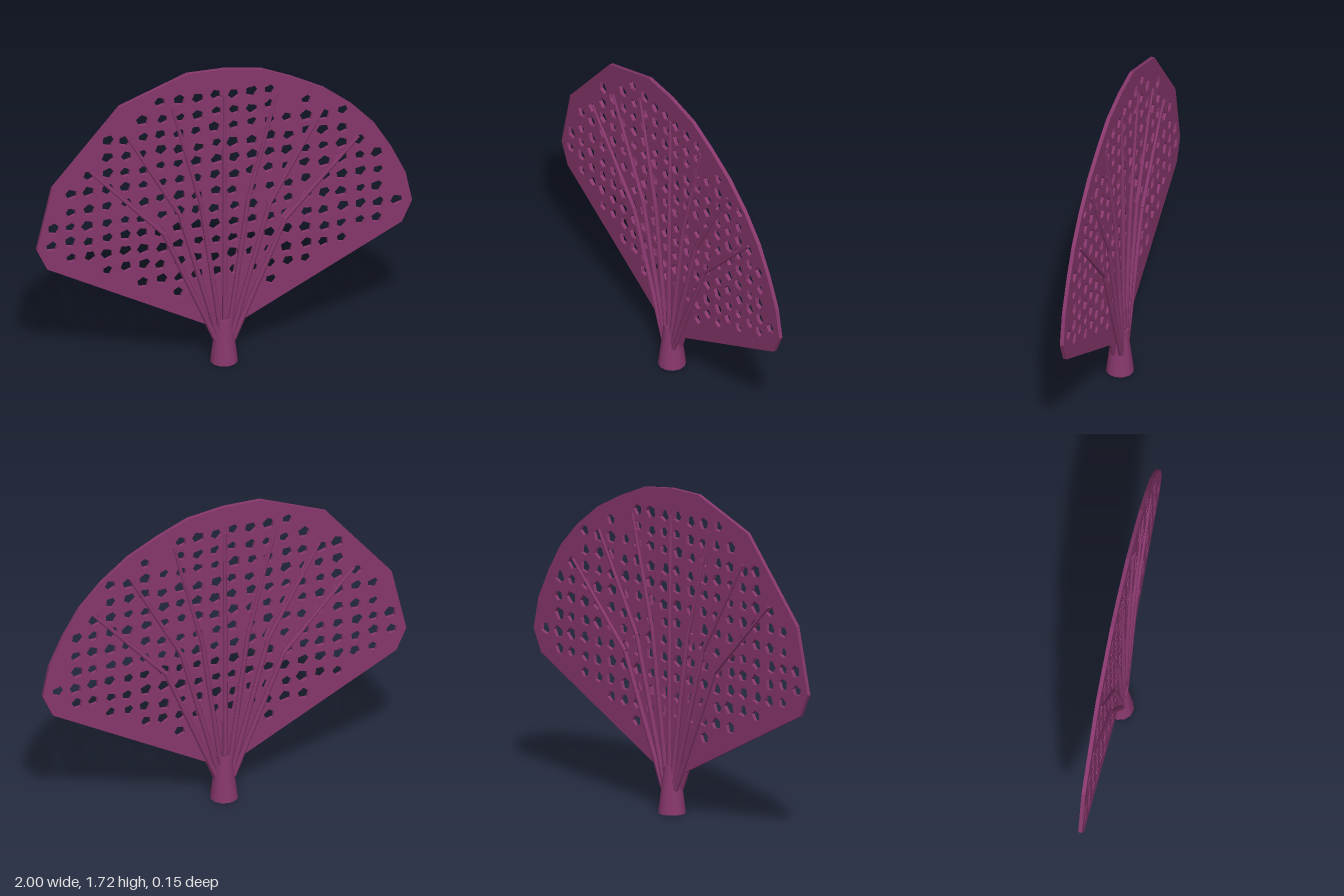
import * as THREE from 'three';

const coral = new THREE.MeshStandardMaterial({ color: 0x87376c });
coral.name = 'plum coral';

// Small seeded generator for the irregular pores
let seed = 7;
const rand = () => (seed = (seed * 16807) % 2147483647) / 2147483647;
const jitter = (a) => (rand() * 2 - 1) * a;

// Fan outline, clockwise from the top left
const OUTLINE = [
  [-0.2, 1.72], [0, 1.72], [0.2, 1.69], [0.36, 1.62], [0.53, 1.53], [0.68, 1.41],
  [0.8, 1.28], [0.89, 1.13], [0.965, 0.97], [1, 0.8], [0.945, 0.68], [0.1, 0.23],
  [-0.1, 0.23], [-0.945, 0.68], [-1, 0.8], [-0.92, 1.15], [-0.56, 1.58],
];

// First and last pore column of each row, from the top down
const PORE_ROWS = [
  [-3, 3], [-4, 5], [-6, 7], [-6, 7], [-7, 8], [-8, 9], [-8, 9],
  [-9, 9], [-9, 10], [-8, 9], [-6, 7], [-4, 5], [-2, 3],
];

// Front-view path of each rib on one side: base, kink, tip
const RIBS = [
  [[0, 0.13], [0, 0.95], [0, 1.57]],
  [[0.015, 0.13], [0.125, 0.94], [0.28, 1.54]],
  [[0.03, 0.13], [0.24, 0.9], [0.525, 1.41]],
  [[0.045, 0.13], [0.325, 0.8], [0.715, 1.22]],
];

function add(group, geometry, name) {
  const mesh = new THREE.Mesh(geometry, coral);
  mesh.name = name;
  group.add(mesh);
  return mesh;
}

// Irregular five-sided pore
function pore(x, y) {
  const path = new THREE.Path();
  const turn = rand() * Math.PI * 2, size = 0.032 + jitter(0.004);
  for (let i = 0; i < 5; i++) {
    const a = turn + (i / 5) * Math.PI * 2 + jitter(0.15);
    const px = x + Math.cos(a) * size, py = y + Math.sin(a) * size;
    if (i) path.lineTo(px, py);
    else path.moveTo(px, py);
  }
  path.closePath();
  return path;
}

// Flat perforated fan
function fanGeometry() {
  const shape = new THREE.Shape(OUTLINE.map(([x, y]) => new THREE.Vector2(x, y)));
  PORE_ROWS.forEach(([first, last], row) => {
    for (let k = first; k <= last; k++) {
      if (row === 1 && k === 4) continue;
      if (row === 12 && k > -2 && k < 3) continue;
      shape.holes.push(pore((k - 0.5) * 0.0963 + jitter(0.008), 1.57 - row * 0.0943 + jitter(0.009)));
    }
  });
  const depth = 0.02;
  return new THREE.ExtrudeGeometry(shape, { depth, bevelEnabled: false }).translate(0, 0, -depth / 2);
}

// Tapered round segment between two points
function segment(group, a, b, ra, rb) {
  const dir = b.clone().sub(a);
  const mesh = add(group, new THREE.CylinderGeometry(rb, ra, dir.length(), 7), 'ribSegment');
  mesh.position.copy(a).add(b).multiplyScalar(0.5);
  mesh.quaternion.setFromUnitVectors(new THREE.Vector3(0, 1, 0), dir.normalize());
}

// Kinked rib lying on one face of the fan
function rib(path, side, face) {
  const group = new THREE.Group();
  group.name = face > 0 ? 'frontRib' : 'backRib';
  const depths = [0.02, 0.017, 0.01], radii = [0.015, 0.012, 0.008];
  const p = path.map(([x, y], i) => new THREE.Vector3(x * side, y, depths[i] * face));
  segment(group, p[0], p[1], radii[0], radii[1]);
  segment(group, p[1], p[2], radii[1], radii[2]);
  return group;
}

export function createModel() {
  seed = 7;
  const model = new THREE.Group();
  model.name = 'seaFan';

  add(model, fanGeometry(), 'fan');
  add(model, new THREE.CylinderGeometry(0.042, 0.073, 0.25, 12), 'stem').position.y = 0.125;

  for (const face of [1, -1]) {
    RIBS.forEach((path, i) => {
      for (const side of i ? [1, -1] : [1]) model.add(rib(path, side, face));
    });
  }
  return model;
}
